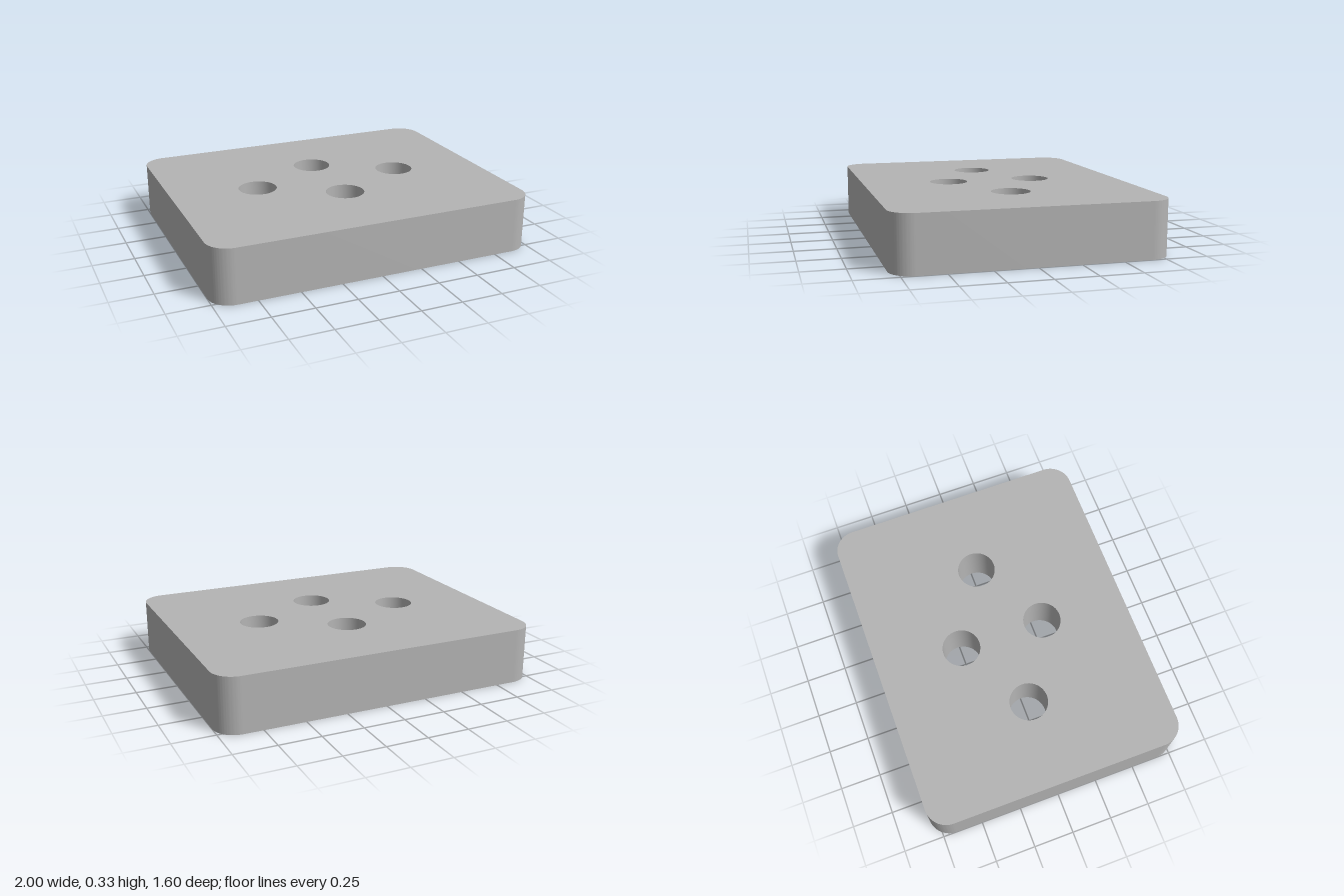
import * as THREE from 'three';
import { toCreasedNormals } from 'three/addons/utils/BufferGeometryUtils.js';

const W = 1, D = 0.8, H = 0.333, CORNER = 0.133;
const HOLE_R = 0.117, BORE_R = 0.242, BORE_DEPTH = 0.035;
const HOLES = [[0.467, 0], [-0.467, 0], [0, 0.267], [0, -0.267]];

// Rounded rectangle, optionally pierced by round holes of radius r
function plateShape(r) {
  const s = new THREE.Shape();
  const x = W - CORNER, y = D - CORNER, q = Math.PI / 2;
  s.absarc(x, y, CORNER, 0, q);
  s.absarc(-x, y, CORNER, q, 2 * q);
  s.absarc(-x, -y, CORNER, 2 * q, 3 * q);
  s.absarc(x, -y, CORNER, 3 * q, 4 * q);
  s.closePath();
  if (r) {
    for (const [hx, hy] of HOLES) {
      s.holes.push(new THREE.Path().absarc(hx, hy, r, 0, Math.PI * 2, true));
    }
  }
  return s;
}

// Outer wall only: the side faces of an extrusion, without its caps
function wallGeometry() {
  const solid = new THREE.ExtrudeGeometry(plateShape(0), { depth: H, bevelEnabled: false, curveSegments: 24 });
  const side = solid.groups[1];
  const pos = solid.attributes.position.array.slice(side.start * 3, (side.start + side.count) * 3);
  const g = new THREE.BufferGeometry();
  g.setAttribute('position', new THREE.BufferAttribute(pos, 3));
  g.rotateX(-Math.PI / 2);
  return toCreasedNormals(g, 0.6);
}

export function createModel() {
  const group = new THREE.Group();
  const grey = new THREE.MeshStandardMaterial({ color: 0xb4b4b4 });
  grey.name = 'grey';

  const add = (name, geometry) => {
    const mesh = new THREE.Mesh(geometry, grey);
    mesh.name = name;
    group.add(mesh);
    return mesh;
  };

  // Plate: top with small holes, underside with wide ones, rounded wall
  add('topFace', new THREE.ShapeGeometry(plateShape(HOLE_R), 24).rotateX(-Math.PI / 2)).position.y = H;
  add('underside', new THREE.ShapeGeometry(plateShape(BORE_R), 24).rotateX(Math.PI / 2));
  add('outerWall', wallGeometry());

  // Stepped bores: through hole widening into a shallow recess underneath
  const profile = [[HOLE_R, H], [HOLE_R, BORE_DEPTH], [BORE_R, BORE_DEPTH], [BORE_R, 0]]
    .map(([r, y]) => new THREE.Vector2(r, y));
  const bore = toCreasedNormals(new THREE.LatheGeometry(profile, 48), 0.6);
  for (const [x, z] of HOLES) add('counterboredHole', bore).position.set(x, 0, z);

  return group;
}
